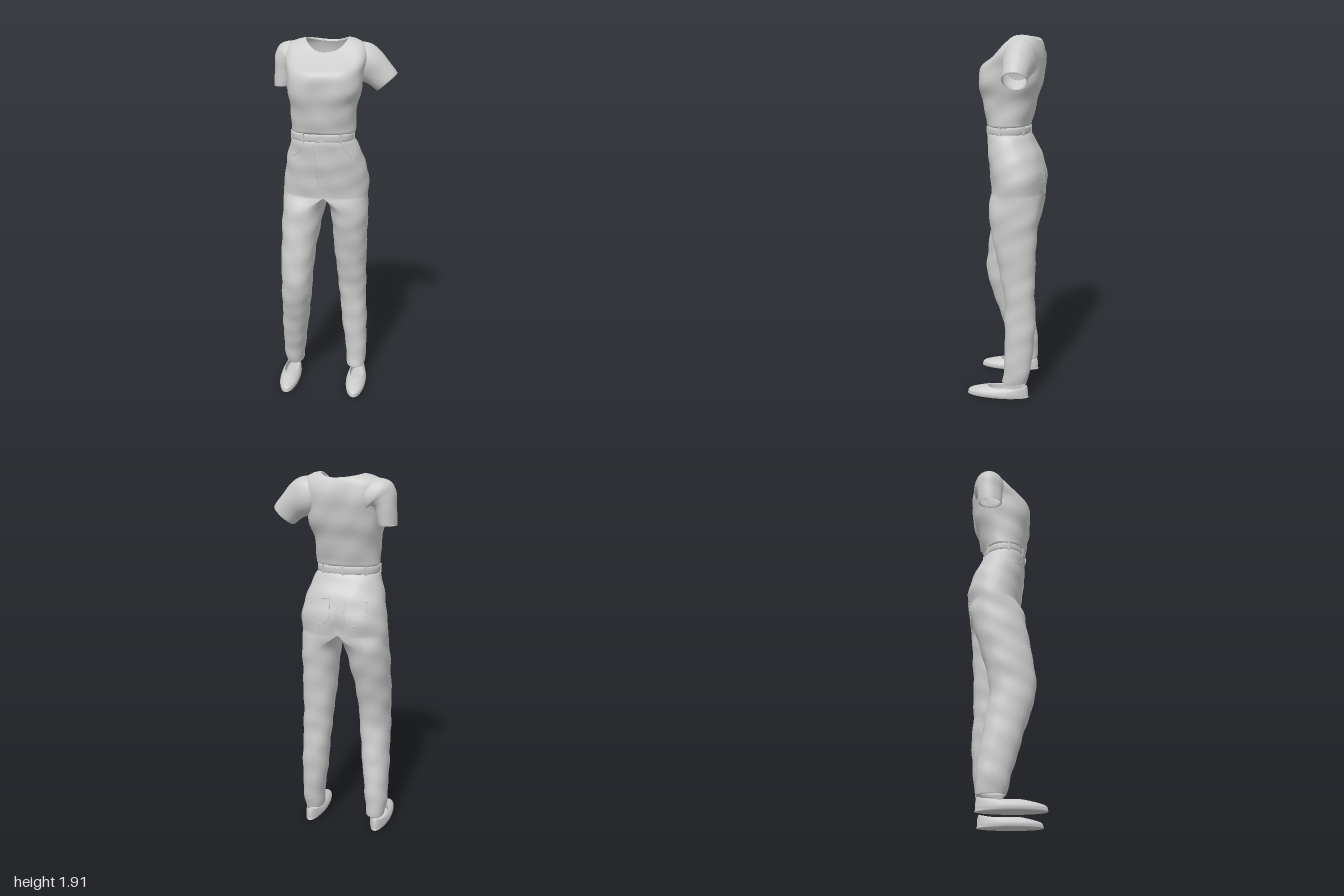
import * as THREE from 'three';
import { mergeGeometries, mergeVertices } from 'three/addons/utils/BufferGeometryUtils.js';

const material = new THREE.MeshStandardMaterial({ color: 0xcccccc, side: THREE.DoubleSide });
const N = 64;
const bump = (v, centre, width) => Math.exp(-(((v - centre) / width) ** 2));

// Catmull-Rom blend of number rows: smooth rows between the key cross-sections
function refine(rows, sub) {
  const out = [];
  const at = (i) => rows[Math.min(Math.max(i, 0), rows.length - 1)];
  for (let i = 0; i < rows.length - 1; i++)
    for (let k = 0; k < sub; k++) {
      const t = k / sub, [a, b, c, d] = [at(i - 1), at(i), at(i + 1), at(i + 2)];
      out.push(b.map((_, j) => 0.5 * (2 * b[j] + (c[j] - a[j]) * t
        + (2 * a[j] - 5 * b[j] + 4 * c[j] - d[j]) * t * t
        + (3 * b[j] - a[j] - 3 * c[j] + d[j]) * t * t * t)));
    }
  out.push(at(rows.length - 1));
  return out;
}

// Horizontal section: [xMin, xMid, xMax, zFront, zBack, yFront, ySide, yBack, power]
function section([x0, xm, x1, zf, zb, yf, ys, yb, p], a) {
  const c = Math.cos(a), s = Math.sin(a), zm = (zf + zb) / 2, e = 2 / p;
  const cx = Math.abs(c) < 1e-9 ? 0 : Math.abs(c) ** e;
  const sz = Math.sign(s) * Math.abs(s) ** e;
  return [xm + cx * (c > 0 ? x1 - xm : x0 - xm), ys * c * c + (s > 0 ? yf : yb) * s * s, zm + sz * (zf - zb) / 2];
}
const level = (x0, xm, x1, zf, zb, y, p = 2.3) => [x0, xm, x1, zf, zb, y, y, y, p];

// Sleeve section: [x, y, z, half width, half depth, tilt, side]
function sleeveSection([x, y, z, w, d, tilt, side], a) {
  const c = Math.cos(a) * w;
  return [x + side * c * Math.cos(tilt), y + c * Math.sin(tilt), z + d * Math.sin(a)];
}

function loft(rows, sub = 6, shape = section) {
  const rings = refine(rows, sub), pos = [], idx = [];
  rings.forEach((r, i) => {
    for (let j = 0; j < N; j++) {
      pos.push(...shape(r, (j / N) * Math.PI * 2));
      if (i === rings.length - 1) continue;
      const a = i * N + j, b = i * N + ((j + 1) % N);
      idx.push(a, a + N, b, b, a + N, b + N);
    }
  });
  const g = new THREE.BufferGeometry();
  g.setAttribute('position', new THREE.Float32BufferAttribute(pos, 3));
  g.setIndex(idx);
  // Rows running downwards are turned so that their faces look outwards
  if (rings[0][5] < rings[rings.length - 1][5] || shape !== section) return g;
  for (let i = 0; i < idx.length; i += 3) [idx[i], idx[i + 1]] = [idx[i + 1], idx[i]];
  g.setIndex(idx);
  return g;
}

function deform(g, rule) {
  const p = g.attributes.position;
  for (let i = 0; i < p.count; i++) p.setXYZ(i, ...rule(p.getX(i), p.getY(i), p.getZ(i)));
  g.computeVertexNormals();
  return g;
}

// Soft cloth folds pushed along the normals
function folds(g, amount) {
  const p = g.attributes.position, n = g.attributes.normal;
  for (let i = 0; i < p.count; i++) {
    const [x, y, z] = [p.getX(i), p.getY(i), p.getZ(i)];
    const d = amount * Math.sin(42 * y + 16 * x + 12 * z) * Math.sin(11 * y - 23 * x + 17 * z);
    p.setXYZ(i, x + n.getX(i) * d, y + n.getY(i) * d, z + n.getZ(i) * d);
  }
  g.computeVertexNormals();
  return g;
}

const MID = -0.045;
const hipRows = [
  level(-0.208, -0.052, 0.1, 0.11, -0.1, 1.43),
  level(-0.225, -0.05, 0.122, 0.115, -0.12, 1.4),
  level(-0.25, -0.047, 0.16, 0.11, -0.17, 1.3),
  level(-0.268, MID, 0.178, 0.097, -0.195, 1.2),
  level(-0.273, MID, 0.178, 0.09, -0.185, 1.12),
];
const leftLegRows = [
  level(MID, MID, 0.178, 0.09, -0.185, 1.12),
  level(-0.02, 0.065, 0.178, 0.092, -0.175, 1.04),
  level(-0.01, 0.085, 0.176, 0.075, -0.165, 0.92),
  level(0.008, 0.09, 0.171, 0.03, -0.157, 0.7),
  level(0.023, 0.097, 0.171, 0.002, -0.157, 0.55),
  level(0.035, 0.105, 0.175, 0, -0.163, 0.4),
  level(0.06, 0.12, 0.178, 0, -0.145, 0.2),
  level(0.072, 0.122, 0.172, 0.012, -0.125, 0.095),
  level(0.08, 0.122, 0.164, 0.004, -0.117, 0.1),
];
const rightLegRows = [
  level(-0.273, MID, MID, 0.09, -0.185, 1.12),
  level(-0.275, -0.16, -0.052, 0.108, -0.17, 1.04),
  level(-0.278, -0.18, -0.078, 0.125, -0.14, 0.92),
  level(-0.279, -0.19, -0.103, 0.15, -0.095, 0.76),
  level(-0.277, -0.195, -0.115, 0.157, -0.07, 0.6),
  level(-0.285, -0.212, -0.14, 0.098, -0.1, 0.4),
  level(-0.29, -0.23, -0.17, 0.04, -0.13, 0.2),
  level(-0.28, -0.23, -0.18, 0.012, -0.127, 0.095),
  level(-0.272, -0.23, -0.188, 0.004, -0.119, 0.1),
];
const cleft = (x, y, z) => [x, y, z < 0 ? z + 0.022 * bump(x, MID, 0.03) * bump(y, 1.16, 0.09) : z];

// Point on the hip surface, for seams
const hipRings = refine(hipRows, 12);
function hipPoint(x, y, front) {
  const r = hipRings.reduce((a, b) => (Math.abs(b[5] - y) < Math.abs(a[5] - y) ? b : a));
  const u = Math.min(0.98, Math.abs(x - r[1]) / Math.abs((x > r[1] ? r[2] : r[0]) - r[1]));
  const a = Math.acos(u ** (r[8] / 2)) * (front ? 1 : -1);
  return new THREE.Vector3(...cleft(x, y, section(r, a)[2] + (front ? 0.001 : -0.001)));
}

const shirtRows = [
  level(-0.2, -0.05, 0.1, 0.105, -0.095, 1.462, 2.4),
  level(-0.212, -0.05, 0.112, 0.117, -0.107, 1.468, 2.4),
  level(-0.214, -0.05, 0.113, 0.124, -0.115, 1.5, 2.4),
  level(-0.222, -0.05, 0.12, 0.14, -0.14, 1.6, 2.6),
  level(-0.23, -0.045, 0.14, 0.157, -0.165, 1.68, 2.9),
  level(-0.235, -0.042, 0.15, 0.142, -0.178, 1.76, 2.8),
  [-0.25, -0.042, 0.165, 0.09, -0.18, 1.8, 1.83, 1.82, 2.6],
  [-0.235, -0.04, 0.15, 0.05, -0.175, 1.83, 1.885, 1.862, 2.4],
  [-0.19, -0.04, 0.108, 0.028, -0.162, 1.848, 1.912, 1.893, 2.3],
  [-0.15, -0.04, 0.07, 0.018, -0.15, 1.855, 1.92, 1.9, 2.3],
  [-0.145, -0.04, 0.065, 0.012, -0.145, 1.848, 1.91, 1.892, 2.3],
];
const leftSleeveRows = [
  [0.08, 1.815, -0.08, 0.085, 0.08, 1.48, 1], [0.14, 1.8, -0.08, 0.098, 0.085, 1.13, 1],
  [0.215, 1.75, -0.076, 0.077, 0.07, 0.75, 1], [0.26, 1.705, -0.075, 0.067, 0.063, 0.73, 1],
  [0.255, 1.71, -0.075, 0.06, 0.057, 0.73, 1],
];
const rightSleeveRows = [
  [-0.16, 1.815, -0.08, 0.085, 0.08, 1.4, -1], [-0.215, 1.808, -0.08, 0.1, 0.085, 0.96, -1],
  [-0.238, 1.798, -0.078, 0.082, 0.076, 0.6, -1], [-0.258, 1.765, -0.076, 0.056, 0.068, 0.2, -1],
  [-0.272, 1.68, -0.075, 0.047, 0.064, 0, -1], [-0.272, 1.687, -0.075, 0.041, 0.058, 0, -1],
];
const shoeRows = [
  level(0, 0, 0, 0.035, 0.035, 0.008, 2.1),
  level(-0.045, 0, 0.045, 0.185, -0.12, 0.008, 2.1),
  level(-0.055, 0, 0.055, 0.2, -0.13, 0.022, 2.1),
  [-0.053, 0, 0.053, 0.185, -0.13, 0.042, 0.04, 0.05, 2.1],
  [-0.043, 0, 0.043, 0.1, -0.125, 0.064, 0.058, 0.074, 2.2],
  [-0.038, 0, 0.038, 0.088, -0.118, 0.06, 0.055, 0.072, 2.2],
  [-0.036, 0, 0.036, 0.09, -0.112, 0.024, 0.024, 0.024, 2.2],
  level(0, 0, 0, 0.02, 0.02, 0.022, 2.2),
];

export function createModel() {
  const model = new THREE.Group();
  const add = (name, geometry) => {
    const mesh = new THREE.Mesh(geometry, material);
    mesh.name = name;
    model.add(mesh);
    return mesh;
  };

  // Trousers: hips and both legs welded into one skin
  const trousers = mergeVertices(mergeGeometries([hipRows, leftLegRows, rightLegRows].map((r) => loft(r, 8))));
  add('trousers', folds(deform(trousers, cleft), 0.003));

  // Shirt body with a hollow between the breasts and along the spine
  const shirt = deform(loft(shirtRows, 6), (x, y, z) => [x, y, z > 0
    ? z - 0.014 * bump(x, MID, 0.05) * bump(y, 1.68, 0.07)
    : z + 0.012 * bump(x, MID, 0.04) * bump(y, 1.72, 0.14)]);
  add('shirtBody', folds(shirt, 0.003));
  add('leftSleeve', folds(deform(loft(leftSleeveRows, 6, sleeveSection), (...v) => v), 0.002));
  add('rightSleeve', folds(deform(loft(rightSleeveRows, 6, sleeveSection), (...v) => v), 0.002));

  // Belt and its loops
  const beltRow = (grow, y) => level(-0.207 - grow, -0.052, 0.1 + grow, 0.11 + grow, -0.1 - grow, y);
  const belt = [[0, 1.425], [0.008, 1.428], [0.009, 1.458], [0, 1.462]].map(([g, y]) => beltRow(g, y));
  add('belt', deform(loft(belt, 3), (...v) => v));
  for (const a of [0.15, 0.95, 2.1, 3, 4.0, 4.71, 5.4]) {
    const loop = add('beltLoop', new THREE.BoxGeometry(0.012, 0.046, 0.006));
    loop.position.set(...section(beltRow(0.01, 1.443), a));
    loop.rotation.y = Math.PI / 2 - a;
  }
  const buckle = add('buckle', new THREE.BoxGeometry(0.03, 0.03, 0.006));
  buckle.position.set(-0.05, 1.443, 0.12);

  // Fly, front pocket and back pocket seams
  const seam = (name, front, points) => {
    const curve = new THREE.CatmullRomCurve3(points.map(([x, y]) => hipPoint(x, y, front)));
    add(name, new THREE.TubeGeometry(curve, 32, 0.0016, 5));
  };
  seam('flySeam', true, [[-0.09, 1.41], [-0.08, 1.32], [-0.066, 1.21], [-0.045, 1.175], [-0.025, 1.21]]);
  for (const s of [-1, 1]) {
    const x = (d) => MID + s * d;
    seam('frontPocketSeam', true, [[x(0.1), 1.4], [x(0.13), 1.36], [x(0.175), 1.33]]);
    seam('backPocketSeam', false, [[x(0.04), 1.31], [x(0.045), 1.21], [x(0.09), 1.18], [x(0.14), 1.21], [x(0.145), 1.3]]);
    seam('backPocketEdge', false, [[x(0.04), 1.31], [x(0.09), 1.305], [x(0.145), 1.3]]);
  }

  // Flat slip-on shoes
  for (const [name, x] of [['leftShoe', 0.133], ['rightShoe', -0.243]]) {
    const shoe = add(name, deform(loft(shoeRows, 5), (px, y, z) => [px * (z < 0 ? 1 + z * 1.2 : 1), y, z]));
    shoe.position.x = x;
  }
  return model;
}
